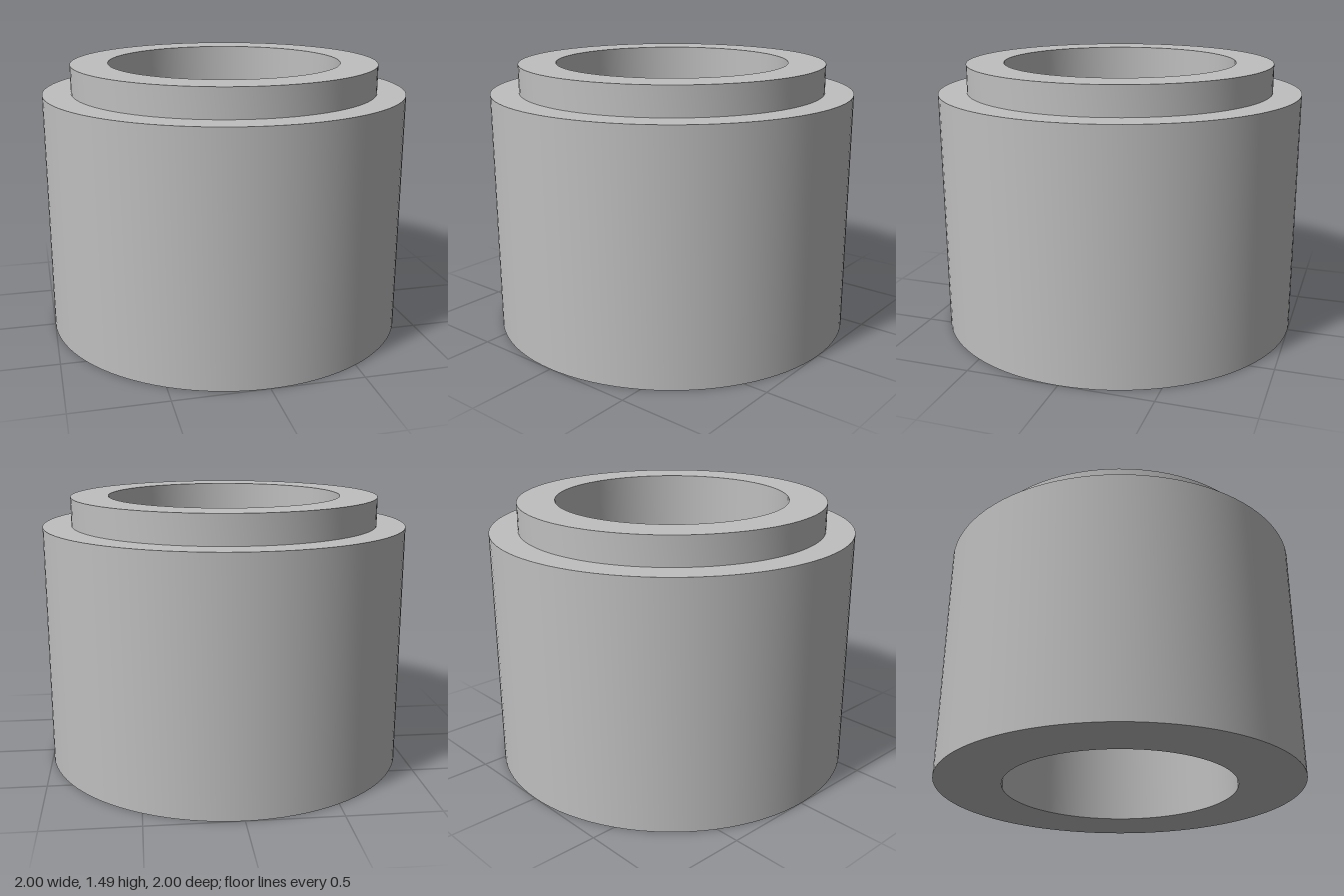
import * as THREE from 'three';
import { toCreasedNormals } from 'three/addons/utils/BufferGeometryUtils.js';

const SEGMENTS = 96;
const OUTER_RADIUS = 1;
const COLLAR_RADIUS = 0.845;
const BORE_RADIUS = 0.64;
const BODY_HEIGHT = 1.33;
const TOTAL_HEIGHT = 1.485;

export function createModel() {
  const group = new THREE.Group();
  group.name = 'steppedBushing';

  const metal = new THREE.MeshStandardMaterial({ color: 0xbfbfbf });
  metal.name = 'light grey';

  // Closed section: base ring, outer wall, shoulder, collar, top rim, bore
  const profile = [
    [BORE_RADIUS, 0],
    [OUTER_RADIUS, 0],
    [OUTER_RADIUS, BODY_HEIGHT],
    [COLLAR_RADIUS, BODY_HEIGHT],
    [COLLAR_RADIUS, TOTAL_HEIGHT],
    [BORE_RADIUS, TOTAL_HEIGHT],
    [BORE_RADIUS, 0],
  ].map(([r, y]) => new THREE.Vector2(r, y));

  // Smooth round walls with sharp rims
  const geometry = toCreasedNormals(new THREE.LatheGeometry(profile, SEGMENTS), Math.PI / 6);
  const bushing = new THREE.Mesh(geometry, metal);
  bushing.name = 'bushingBody';
  group.add(bushing);

  return group;
}
